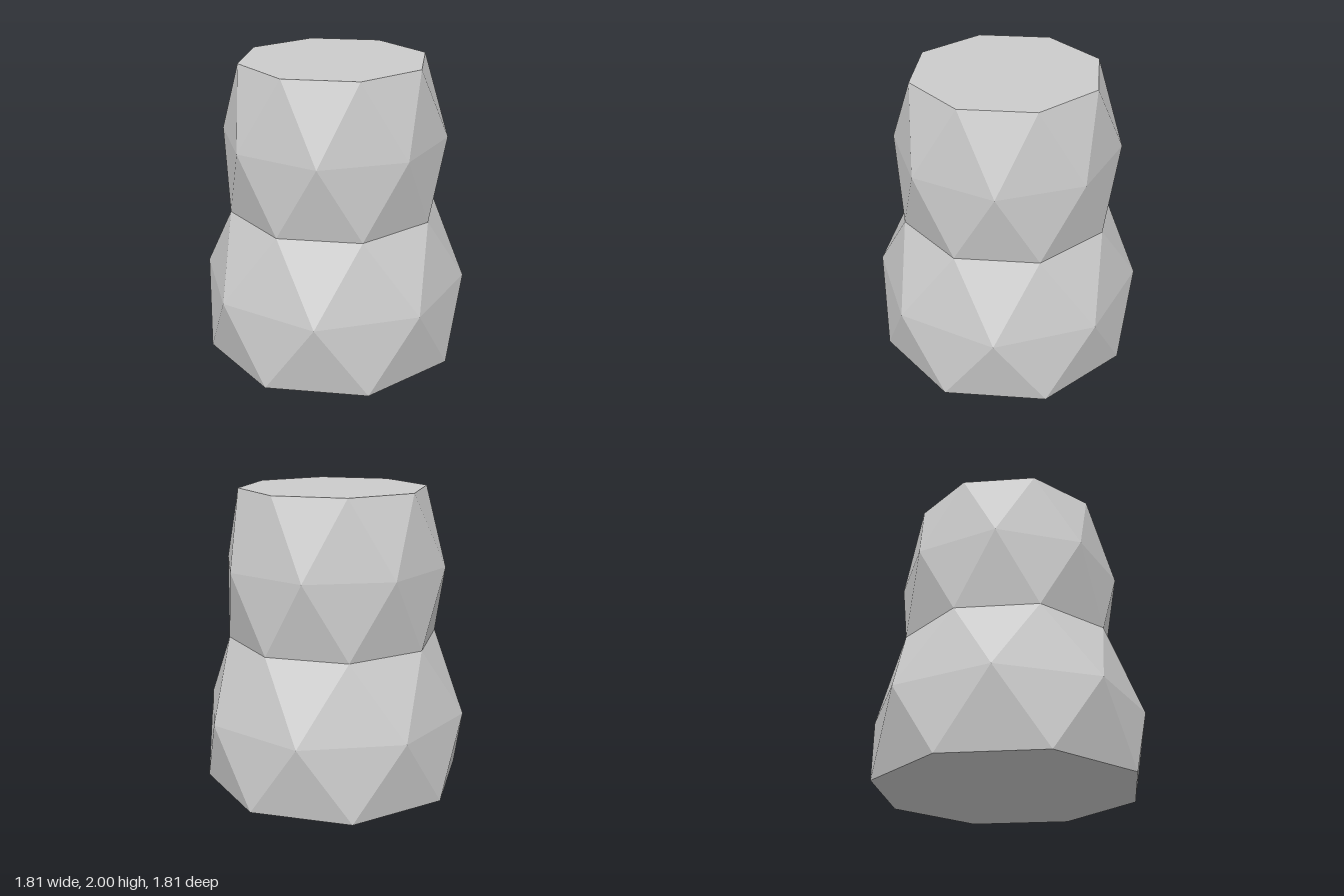
import * as THREE from 'three';

const SIDES = 8;

// Corner i of an eight-sided ring; turn is 0 or 0.5 of a side.
function corner({ y, r, turn }, i) {
  const a = ((i + turn) / SIDES) * Math.PI * 2;
  return [r * Math.sin(a), y, r * Math.cos(a)];
}

function makeMesh(name, positions, material) {
  const geometry = new THREE.BufferGeometry();
  geometry.setAttribute('position', new THREE.Float32BufferAttribute(positions, 3));
  geometry.computeVertexNormals();
  const mesh = new THREE.Mesh(geometry, material);
  mesh.name = name;
  return mesh;
}

// Zigzag bands of triangles joining rings whose corners alternate by half a side.
function facetedTier(name, rings, material) {
  const positions = [];
  for (let k = 0; k < rings.length - 1; k++) {
    const low = rings[k], high = rings[k + 1];
    const s = low.turn > 0 ? 1 : 0;
    for (let i = 0; i < SIDES; i++) {
      positions.push(...corner(low, i), ...corner(low, i + 1), ...corner(high, i + s));
      positions.push(...corner(low, i + 1 - s), ...corner(high, i + 1), ...corner(high, i));
    }
  }
  return makeMesh(name, positions, material);
}

// Flat octagon closing an end.
function cap(name, ring, up, material) {
  const positions = [];
  for (let i = 0; i < SIDES; i++) {
    const a = corner(ring, i), b = corner(ring, i + 1);
    positions.push(0, ring.y, 0, ...(up ? a : b), ...(up ? b : a));
  }
  return makeMesh(name, positions, material);
}

export function createModel() {
  const group = new THREE.Group();
  group.name = 'facetedTower';
  const material = new THREE.MeshStandardMaterial({ color: 0xcccccc, flatShading: true });

  const base = { y: 0, r: 0.883, turn: 0.5 };
  const belly = { y: 0.5, r: 0.904, turn: 0 };
  const waist = { y: 1, r: 0.71, turn: 0.5 };
  const chest = { y: 1.5, r: 0.755, turn: 0 };
  const top = { y: 2, r: 0.626, turn: 0.5 };

  group.add(
    facetedTier('lowerTier', [base, belly, waist], material),
    facetedTier('upperTier', [waist, chest, top], material),
    cap('bottomCap', base, false, material),
    cap('topCap', top, true, material),
  );
  return group;
}
